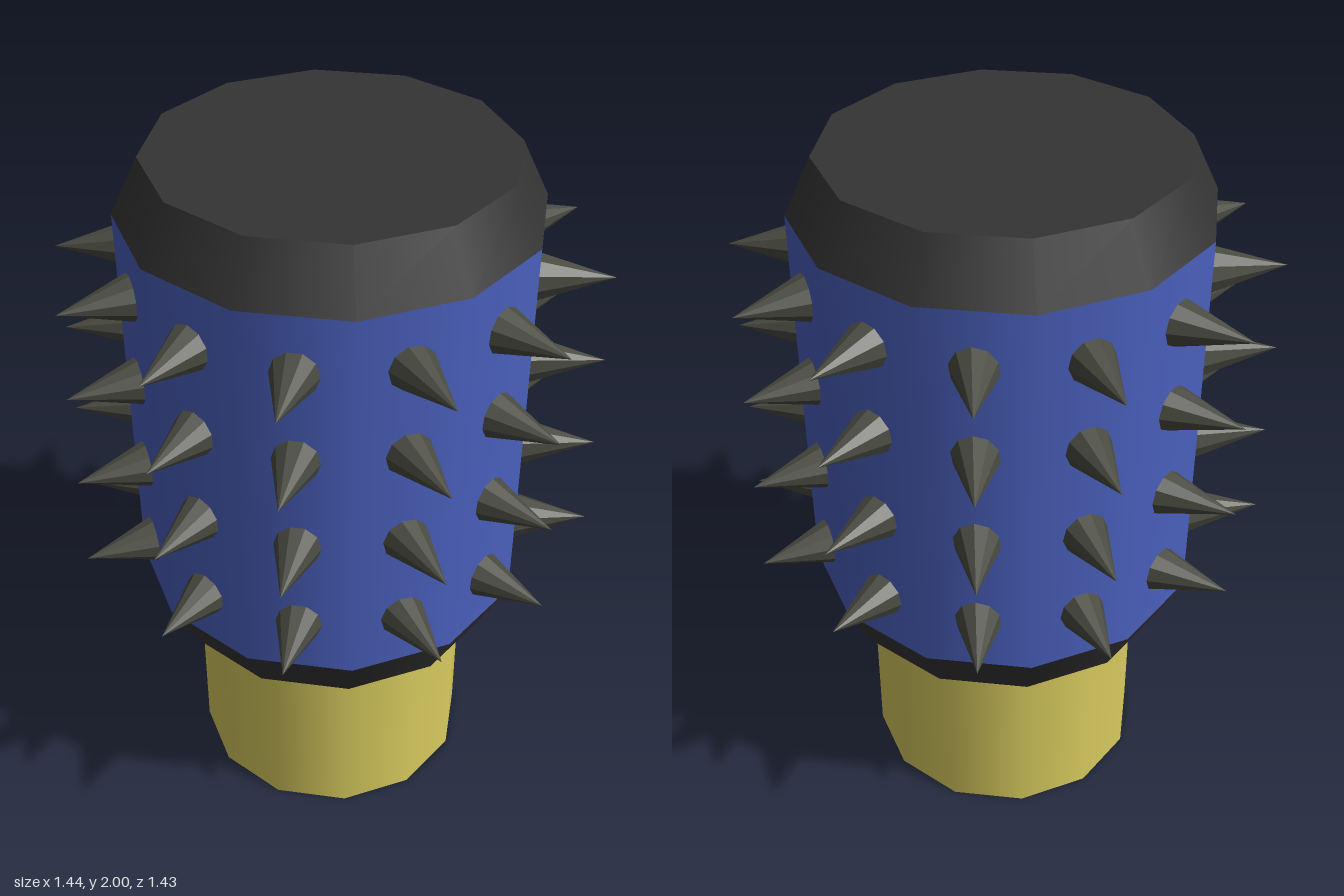
import * as THREE from 'three';

const SIDES = 12;
const paint = (color) => new THREE.MeshStandardMaterial({ color });

export function createModel() {
  const group = new THREE.Group();
  const yellow = paint(0xd8cb5e), blue = paint(0x4a60bd), black = paint(0x343434);
  const spikeMaterial = paint(0x484a40);
  spikeMaterial.flatShading = true;

  // Upright twelve-sided section from y0 to y1
  function section(name, r0, r1, y0, y1, material, open = true) {
    const geometry = new THREE.CylinderGeometry(r1, r0, y1 - y0, SIDES, 1, open);
    geometry.translate(0, (y0 + y1) / 2, 0);
    const mesh = new THREE.Mesh(geometry, material);
    mesh.name = name;
    group.add(mesh);
  }

  section('handle', 0.404, 0.404, 0, 0.58, yellow, false);
  section('lowerCollar', 0.485, 0.56, 0.575, 0.725, black);
  section('body', 0.56, 0.56, 0.725, 1.845, blue);
  section('upperCollar', 0.56, 0.485, 1.845, 2, black);

  // Flat discs closing the head above and below
  function disc(name, y, tilt, material) {
    const geometry = new THREE.CircleGeometry(0.485, SIDES);
    geometry.rotateX(tilt);
    const mesh = new THREE.Mesh(geometry, material);
    mesh.name = name;
    mesh.position.y = y;
    group.add(mesh);
  }
  disc('topCap', 2, -Math.PI / 2, black);
  disc('underside', 0.575, Math.PI / 2, yellow);

  // Four rings of spikes, one per face, with slightly uneven tip angles (degrees from +x towards +z)
  const tipAngles = [13, 45.3, 73, 105.5, 133, 163.5, 191, 222.5, 255.5, 283, 315.5, 343];
  const rows = [0.885, 1.155, 1.43, 1.685];
  const polar = (degrees, r, y) => {
    const a = THREE.MathUtils.degToRad(degrees);
    return new THREE.Vector3(r * Math.cos(a), y, r * Math.sin(a));
  };
  const up = new THREE.Vector3(0, 1, 0);
  const spikes = new THREE.Group();
  spikes.name = 'spikes';
  for (const y of rows) {
    tipAngles.forEach((angle, i) => {
      const base = polar(15 + 30 * i, 0.525, y);
      const axis = polar(angle, 0.738, y).sub(base);
      const length = axis.length();
      const geometry = new THREE.ConeGeometry(0.068, length, 10);
      geometry.translate(0, length / 2, 0);
      const spike = new THREE.Mesh(geometry, spikeMaterial);
      spike.name = 'spike';
      spike.position.copy(base);
      spike.quaternion.setFromUnitVectors(up, axis.normalize());
      spikes.add(spike);
    });
  }
  group.add(spikes);
  return group;
}
